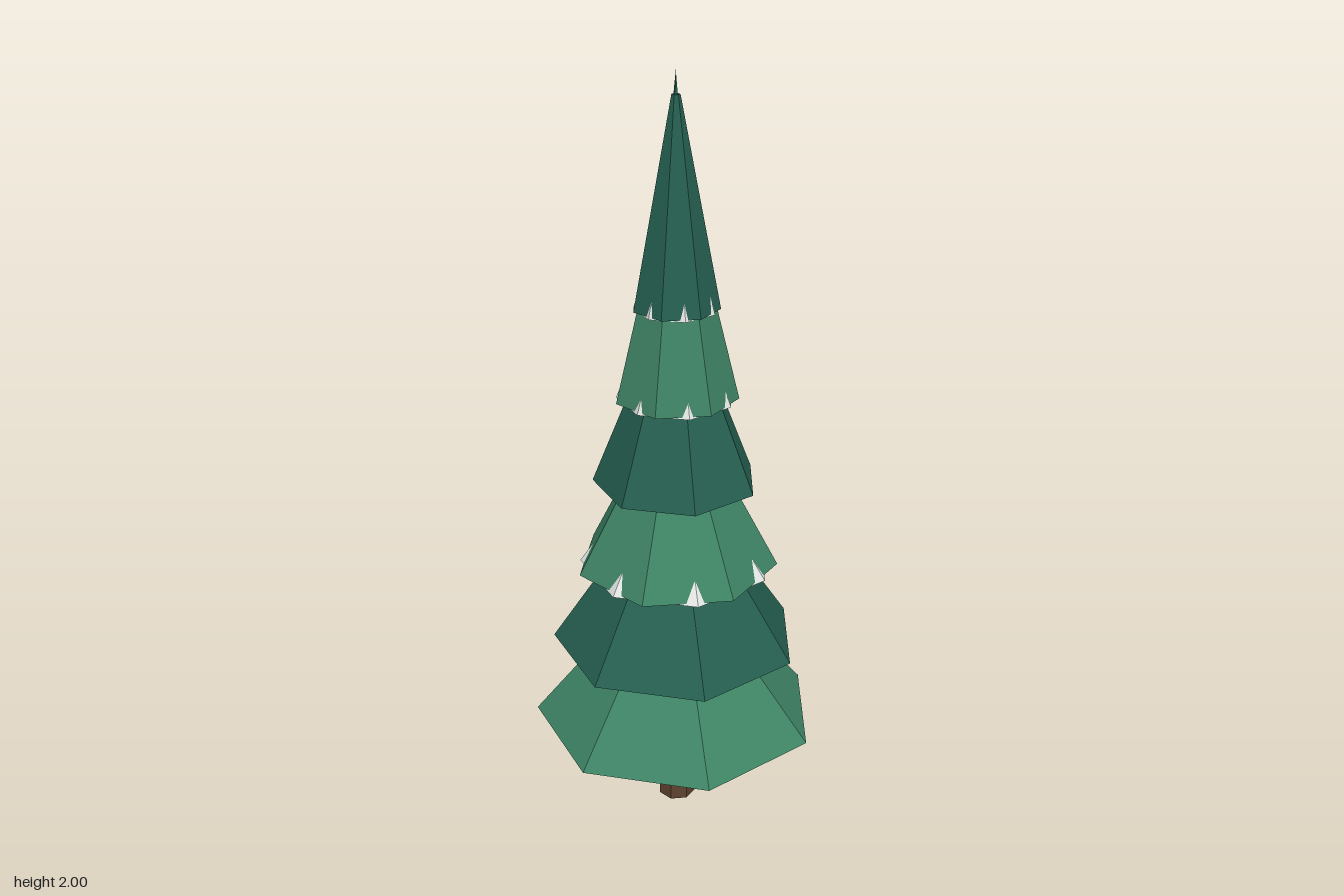
import * as THREE from 'three';

const SIDES = 7;
const TWIST = -0.353;

function flat(name, color) {
  const m = new THREE.MeshStandardMaterial({ color, flatShading: true });
  m.name = name;
  return m;
}

export function createModel() {
  const tree = new THREE.Group();
  tree.name = 'pineTree';

  const lightGreen = flat('lightGreen', 0x3e8465);
  const darkGreen = flat('darkGreen', 0x255f50);
  const snow = flat('snow', 0xe2e6e3);
  const bark = flat('bark', 0x5e4230);

  // Seven-sided frustum standing between two heights
  function frustum(name, material, rBottom, rTop, y0, y1, turn, sides = SIDES) {
    const g = new THREE.CylinderGeometry(rTop, rBottom, y1 - y0, sides, 1, false, turn);
    g.translate(-0.009, (y0 + y1) / 2, 0.01);
    const mesh = new THREE.Mesh(g, material);
    mesh.name = name;
    tree.add(mesh);
  }

  // Trunk
  frustum('trunk', bark, 0.051, 0.042, 0, 0.32, 0);

  // Branch tiers: bottom radius, top radius, bottom, top, turn
  const tiers = [
    [0.384, 0.190, 0.273, 0.510, TWIST],
    [0.330, 0.172, 0.506, 0.742, TWIST],
    [0.265, 0.140, 0.738, 0.972, 0],
    [0.215, 0.120, 0.968, 1.204, TWIST],
    [0.158, 0.100, 1.200, 1.436, 0],
    [0.110, 0.011, 1.432, 1.945, 0],
  ];
  tiers.forEach(([rb, rt, y0, y1, turn], i) => {
    frustum(`branchTier${i + 1}`, i % 2 ? darkGreen : lightGreen, rb, rt, y0, y1, turn);
    // Snow cone under each tier; its corners poke through the turned tiers
    frustum(`snowCone${i + 1}`, snow, rb * 0.955, 0, y0 - 0.004, y0 + 0.365, TWIST);
  });

  // Thin spike at the tip
  frustum('tipSpike', darkGreen, 0.007, 0, 1.93, 2, 0, 5);

  return tree;
}
